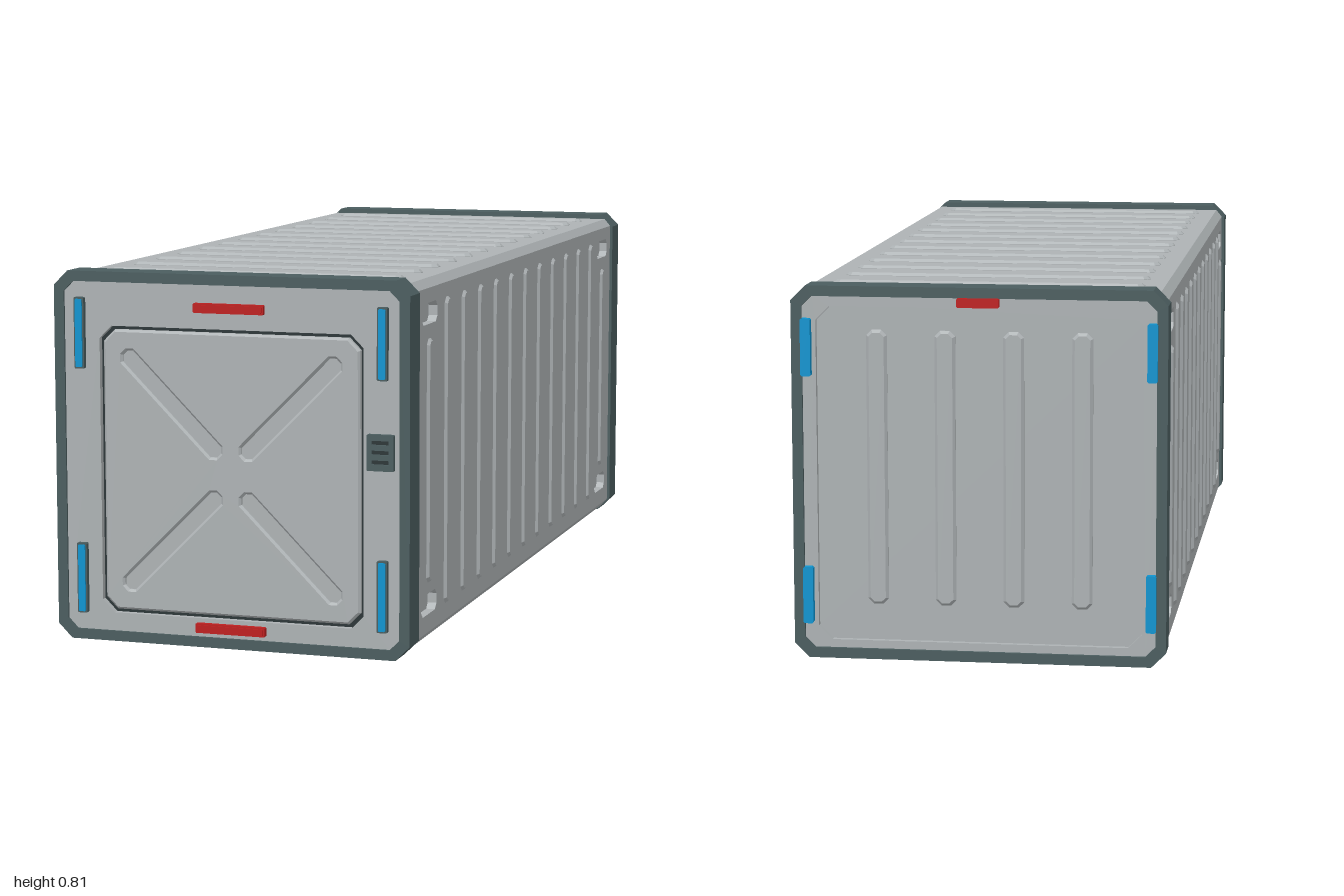
import * as THREE from 'three';

const mat = (name, color, extra = {}) => {
  const m = new THREE.MeshStandardMaterial({ color, ...extra });
  m.name = name;
  return m;
};

// Chamfered rectangle as a list of points, optionally rotated about its centre
function octagon(cx, cy, w, h, c, angle = 0) {
  const a = w / 2, b = h / 2;
  return [[a - c, -b], [a, c - b], [a, b - c], [a - c, b], [c - a, b], [-a, b - c], [-a, c - b], [c - a, -b]]
    .map(([x, y]) => new THREE.Vector2(x, y).rotateAround(new THREE.Vector2(), angle).add(new THREE.Vector2(cx, cy)));
}

// Plate between z0 and z1 with holes; bevel slopes the front and back edges
function plate(points, z0, z1, holes = [], bevel = 0) {
  const shape = new THREE.Shape(points);
  holes.forEach(h => shape.holes.push(new THREE.Path(h)));
  const g = new THREE.ExtrudeGeometry(shape, {
    depth: z1 - z0 - 2 * bevel, bevelEnabled: bevel > 0,
    bevelThickness: bevel, bevelSize: bevel, bevelOffset: -bevel, bevelSegments: 1,
  });
  return g.translate(0, 0, z0 + bevel);
}

export function createModel() {
  const grey = mat('panelGrey', 0xadb2b4);
  const dark = mat('frameDark', 0x4b5d5f);
  const black = mat('grooveDark', 0x2b3537);
  const blue = mat('lightBlue', 0x0d94d0);
  const red = mat('lightRed', 0xbe1e1e);

  const model = new THREE.Group();
  model.name = 'cargoContainer';
  const group = (name, parent = model) => {
    const g = new THREE.Group();
    g.name = name;
    parent.add(g);
    return g;
  };
  const add = (parent, name, geometry, material) => {
    const m = new THREE.Mesh(geometry, material);
    m.name = name;
    parent.add(m);
    return m;
  };
  // Raised rib with sloped edges, standing on a surface at z
  const rib = (parent, name, x, y, w, h, z, rise = 0.006) =>
    add(parent, name, plate(octagon(x, y, w, h, 0.012), z - 0.01, z + rise, [], 0.006), grey);

  // Hull with chamfered long edges, sides set in to carry the wall panels
  const half = [[0.383, 0.012], [0.398, 0.03], [0.378, 0.03], [0.378, 0.785], [0.398, 0.785], [0.383, 0.803]];
  const hull = [...half, ...half.map(([x, y]) => [-x, y]).reverse()].map(p => new THREE.Vector2(...p));
  add(model, 'hull', plate(hull, -0.95, 0.95), grey);

  // Side walls with pockets and vertical ribs
  for (const s of [1, -1]) {
    const wall = group(s > 0 ? 'leftWall' : 'rightWall');
    wall.rotation.y = s * Math.PI / 2;
    const pockets = [];
    for (const x of [-0.822, 0.822])
      for (const y of [0.093, 0.73]) pockets.push(octagon(x, y, 0.118, 0.046, 0.012));
    add(wall, 'wallPanel', plate(octagon(0, 0.4075, 1.9, 0.755, 0), 0.37, 0.398, pockets), grey);
    for (let i = -6; i <= 6; i++) {
      const end = Math.abs(i) === 6;
      rib(wall, 'wallRib', i * 0.1372, end ? 0.408 : 0.41, 0.04, end ? 0.535 : 0.685, 0.398);
    }
  }

  // Roof ribs
  const roof = group('roof');
  roof.rotation.x = -Math.PI / 2;
  for (let i = -6; i <= 6; i++) rib(roof, 'roofRib', 0, i * 0.1372, 0.68, 0.04, 0.803, 0.007);

  // End frames
  const front = group('frontEnd'), back = group('backEnd');
  back.rotation.y = Math.PI;
  for (const end of [front, back])
    add(end, 'endFrame', plate(octagon(0, 0.4075, 0.81, 0.815, 0.032), 0.92, 0.991,
      [octagon(0, 0.4075, 0.764, 0.77, 0.022)]), dark);

  // Front door: surround, dark seam, and panel with four diagonal grooves
  add(front, 'doorSurround', plate(octagon(0, 0.4075, 0.766, 0.772, 0.022), 0.94, 0.986,
    [octagon(0, 0.38, 0.602, 0.634, 0.028)]), grey);
  add(front, 'doorSeam', plate(octagon(0, 0.38, 0.61, 0.642, 0.028), 0.95, 0.972), black);
  const grooves = [];
  for (const sx of [1, -1])
    for (const sy of [1, -1])
      grooves.push(octagon(sx * 0.136, 0.38 + sy * 0.151, 0.305, 0.034, 0.01, sx * sy * Math.PI / 4));
  add(front, 'doorPanel', plate(octagon(0, 0.38, 0.586, 0.618, 0.026), 0.965, 0.986, grooves, 0.005), grey);
  add(front, 'grooveFloor', plate(octagon(0, 0.38, 0.57, 0.6, 0.026), 0.96, 0.977), grey);

  // Lights: a dark housing with a coloured lens
  const light = (parent, name, x, y, w, h, lens, housing) => {
    const g = group(name, parent);
    add(g, 'housing', plate(octagon(x, y, w, h, 0.002), 0.975, 0.997), housing);
    add(g, 'lens', plate(octagon(x, y, w - 0.007, h - 0.007, 0.002), 0.996, 1.0), lens);
  };
  for (const x of [-0.345, 0.345]) {
    for (const y of [0.138, 0.68]) light(front, 'frontMarkerLight', x, y, 0.023, 0.156, blue, dark);
    for (const y of [0.14, 0.682])
      add(back, 'backMarkerLight', plate(octagon(x * 1.08, y, 0.022, 0.125, 0.003), 0.97, 1.0), blue);
  }
  for (const y of [0.043, 0.743]) light(front, 'frontSignalLight', 0, y, 0.16, 0.021, red, red);
  add(back, 'backSignalLight', plate(octagon(0, 0.783, 0.09, 0.02, 0.002), 0.97, 1.0), red);

  // Door control with slots
  const bars = [0.428, 0.449, 0.47];
  add(front, 'controlBox', plate(octagon(0.341, 0.4485, 0.06, 0.078, 0.002), 0.975, 0.998,
    bars.map(y => octagon(0.341, y, 0.038, 0.009, 0.001))), dark);
  add(front, 'controlSlots', plate(octagon(0.341, 0.4485, 0.05, 0.065, 0.002), 0.98, 0.992), black);

  // Back wall: thin rim around a recessed panel with four ribs
  add(back, 'backRim', plate(octagon(0, 0.4075, 0.766, 0.772, 0.022), 0.94, 0.984,
    [octagon(0, 0.405, 0.705, 0.73, 0.03)]), grey);
  add(back, 'backPanel', plate(octagon(0, 0.405, 0.72, 0.745, 0.03), 0.94, 0.972), grey);
  for (const x of [-0.222, -0.074, 0.074, 0.222]) rib(back, 'backRib', x, 0.42, 0.045, 0.6, 0.972, 0.008);

  return model;
}
